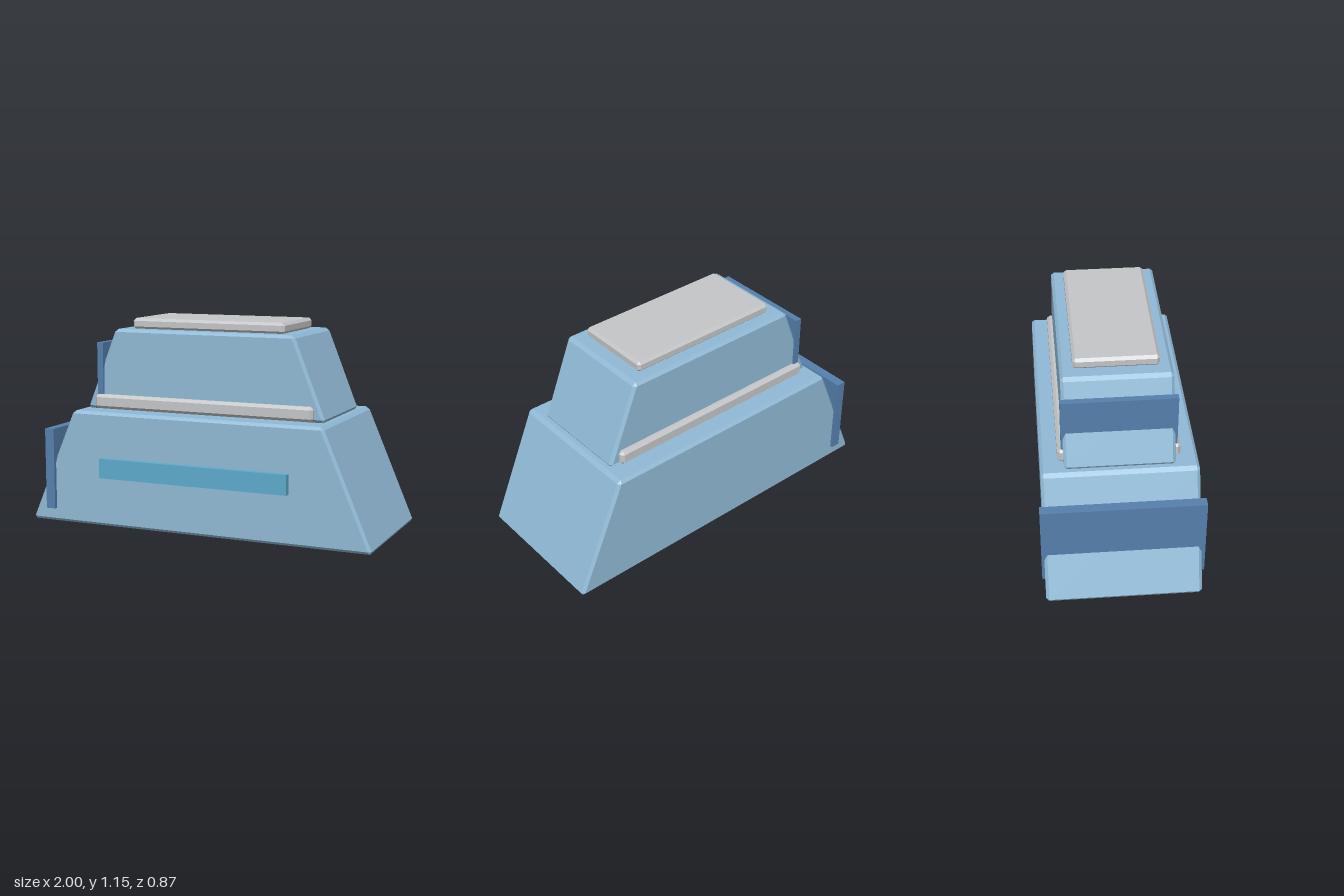
import * as THREE from 'three';
import { ConvexGeometry } from 'three/addons/geometries/ConvexGeometry.js';

const material = (name, color) => {
  const m = new THREE.MeshStandardMaterial({ color });
  m.name = name;
  return m;
};

// Box with all edges chamfered by b; its ends lean inwards by slope (x per unit of y)
function chamferedBox(halfX, y0, y1, z0, z1, b, slope = 0) {
  const points = [];
  const halfY = (y1 - y0) / 2, halfZ = (z1 - z0) / 2;
  for (const sx of [-1, 1]) for (const sy of [-1, 1]) for (const sz of [-1, 1]) {
    for (let axis = 0; axis < 3; axis++) {
      const inset = [b, b, b];
      inset[axis] = 0;
      const y = sy * (halfY - inset[1]);
      const x = halfX - inset[0] - slope * (y + halfY);
      points.push(new THREE.Vector3(sx * x, y + (y0 + y1) / 2, sz * (halfZ - inset[2]) + (z0 + z1) / 2));
    }
  }
  return new ConvexGeometry(points);
}

// Sharp box given by its limits
function plainBox(x0, x1, y0, y1, z0, z1) {
  return new THREE.BoxGeometry(x1 - x0, y1 - y0, z1 - z0)
    .translate((x0 + x1) / 2, (y0 + y1) / 2, (z0 + z1) / 2);
}

export function createModel() {
  const group = new THREE.Group();
  const paleBlue = material('pale blue', 0x90b9d5);
  const grey = material('light grey', 0xc4c5c6);
  const darkBlue = material('dark blue', 0x5580ac);
  const cyan = material('cyan blue', 0x5cabcc);

  const add = (name, geometry, mat) => {
    const mesh = new THREE.Mesh(geometry, mat);
    mesh.name = name;
    group.add(mesh);
  };

  // Two stacked tapered blocks
  add('lowerBody', chamferedBox(1.005, 0, 0.64, -0.418, 0.403, 0.016, 0.43), paleBlue);
  add('upperBody', chamferedBox(0.704, 0.64, 1.09, -0.297, 0.282, 0.016, 0.4), paleBlue);

  // Grey band round the waist and cap on top
  add('waistBand', chamferedBox(0.643, 0.645, 0.725, -0.327, 0.312, 0.016), grey);
  add('topCap', chamferedBox(0.448, 1.087, 1.148, -0.23, 0.217, 0.015), grey);

  // Upright plates on the right end
  add('lowerEndPlate', plainBox(-0.9, -0.845, 0.075, 0.53, -0.433, 0.423), darkBlue);
  add('upperEndPlate', plainBox(-0.63, -0.594, 0.65, 1.013, -0.307, 0.294), darkBlue);

  // Strip across the front
  add('frontStrip', plainBox(-0.55, 0.55, 0.277, 0.386, 0.39, 0.436), cyan);

  return group;
}
